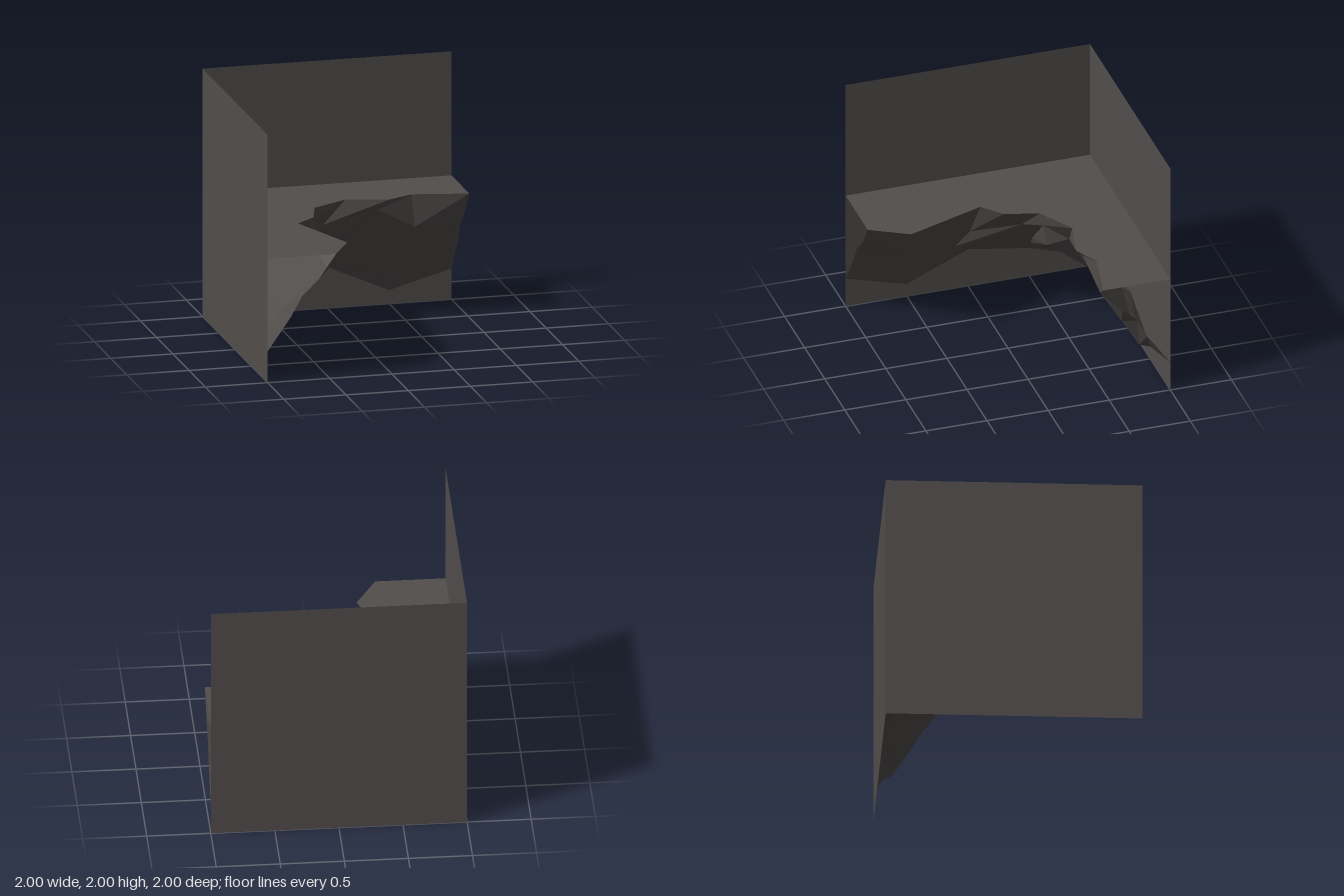
import * as THREE from 'three';

// Cross-sections of the rock face, from the left wall round the corner to the back wall.
// Each runs from the wall up to the rim of the ledge.
const sections = [
  [[-1, .25, 1], [-.81, .52, 1], [-.72, .68, 1], [-.59, .8, 1], [-.45, 1, 1]],
  [[-1, .11, .5], [-.9, .2, .48], [-.75, .47, .54], [-.47, .84, .84], [-.28, 1, .7]],
  [[-1, .33, 0], [-.94, .38, .03], [-.8, .5, .17], [-.71, .67, .08], [-.51, 1, .06]],
  [[-1, .25, -.5], [-.9, .36, -.48], [-.74, .5, -.44], [-.48, .8, -.27], [-.35, 1, -.08]],
  [[-1, .11, -1], [-.72, .32, -.74], [-.31, .68, -.42], [-.28, .88, -.38], [-.27, 1, -.35]],
  [[-.5, .19, -1], [-.45, .27, -.9], [-.4, .36, -.79], [-.15, .8, -.55], [.02, 1, -.52]],
  [[0, .33, -1], [.03, .4, -.92], [.04, .57, -.79], [.28, .9, -.52], [.36, 1, -.44]],
  [[.5, .11, -1], [.62, .22, -.87], [.64, .47, -.72], [.59, .73, -.56], [.56, 1, -.54]],
  [[1, .25, -1], [1, .52, -.81], [1, .68, -.73], [1, .79, -.61], [1, 1, -.45]],
];

// Faceted skin joining neighbouring cross-sections
function rockGeometry() {
  const rows = sections[0].length;
  const index = [];
  for (let c = 0; c < sections.length - 1; c++) {
    for (let r = 0; r < rows - 1; r++) {
      const a = c * rows + r, b = a + rows;
      index.push(a, b, b + 1, a, b + 1, a + 1);
    }
  }
  const geometry = new THREE.BufferGeometry();
  geometry.setAttribute('position', new THREE.Float32BufferAttribute(sections.flat(2), 3));
  geometry.setIndex(index);
  const faceted = geometry.toNonIndexed();
  faceted.computeVertexNormals();
  return faceted;
}

// Flat top bounded by the two walls and the rim
function ledgeGeometry() {
  const rim = sections.map((s) => s[s.length - 1]);
  const outline = [[-1, -1], [-1, 1], ...rim.map((p) => [p[0], p[2]]), [1, -1]];
  const shape = new THREE.Shape(outline.map(([x, z]) => new THREE.Vector2(x, -z)));
  return new THREE.ShapeGeometry(shape).rotateX(-Math.PI / 2).translate(0, 1, 0);
}

export function createModel() {
  const stone = new THREE.MeshStandardMaterial({ color: 0x524e4c, side: THREE.DoubleSide, flatShading: true });
  stone.name = 'dark stone';
  const model = new THREE.Group();
  model.name = 'cornerRockLedge';
  const add = (name, geometry) => {
    const mesh = new THREE.Mesh(geometry, stone);
    mesh.name = name;
    model.add(mesh);
  };

  add('backWall', new THREE.PlaneGeometry(2, 2).translate(0, 1, -1));
  add('sideWall', new THREE.PlaneGeometry(2, 2).rotateY(Math.PI / 2).translate(-1, 1, 0));
  add('ledgeTop', ledgeGeometry());
  add('rockFace', rockGeometry());
  return model;
}
